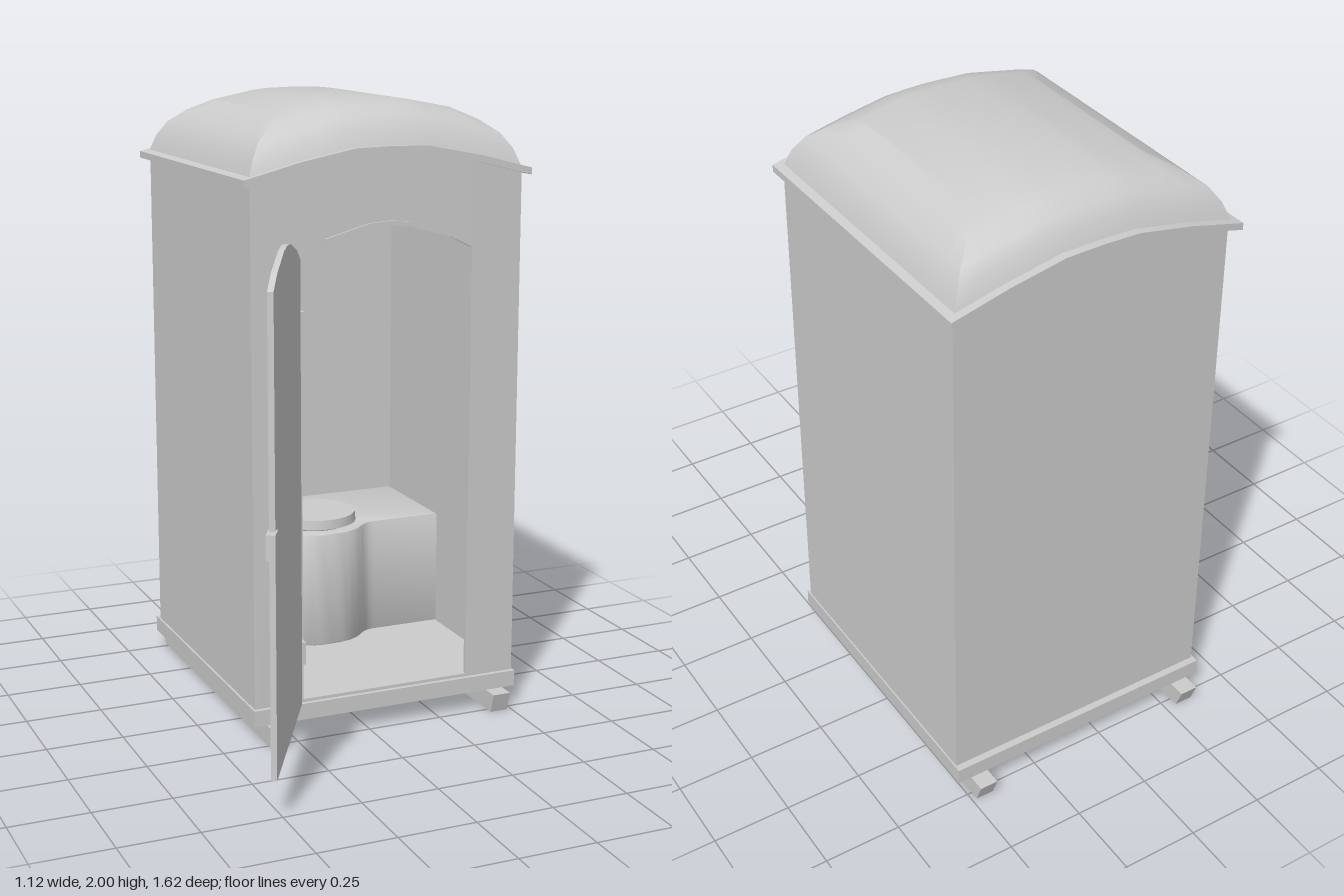
import * as THREE from 'three';
import { toCreasedNormals } from 'three/addons/utils/BufferGeometryUtils.js';

const CX = 0.07; // centre line of the cabin
const plastic = new THREE.MeshStandardMaterial({ color: 0xcccccc, side: THREE.DoubleSide });
plastic.name = 'grey plastic';

function add(parent, name, geometry, x = 0, y = 0, z = 0) {
  const mesh = new THREE.Mesh(geometry, plastic);
  mesh.name = name;
  mesh.position.set(x, y, z);
  parent.add(mesh);
  return mesh;
}

// Box given by its two extreme corners
function block(parent, name, x0, x1, y0, y1, z0, z1) {
  return add(parent, name, new THREE.BoxGeometry(x1 - x0, y1 - y0, z1 - z0),
    (x0 + x1) / 2, (y0 + y1) / 2, (z0 + z1) / 2);
}

const extrude = (shape, depth, options = {}) => toCreasedNormals(
  new THREE.ExtrudeGeometry(shape, { depth, bevelEnabled: false, curveSegments: 10, ...options }), 0.6);

const polygon = (pts) => new THREE.Shape(pts.map(([x, y]) => new THREE.Vector2(x, y)));

// Linear interpolation through [input, output] pairs
function sample(table, t) {
  for (let i = 1; i < table.length; i++) {
    const [a, ya] = table[i - 1], [b, yb] = table[i];
    if (t <= b) return ya + (yb - ya) * Math.max(0, (t - a) / (b - a));
  }
  return table[table.length - 1][1];
}

// Arched eave line, and the rise of the dome by distance from its edge
const EAVE = [[0, 1.866], [0.12, 1.863], [0.3, 1.828], [0.48, 1.782]];
const RISE = [[0, 0], [0.02, 0.05], [0.05, 0.088], [0.1, 0.115], [0.17, 0.135]];
const eave = (x) => sample(EAVE, Math.abs(x - CX));
const eaveLine = (half, drop) => [-1, -0.625, -0.25, 0, 0.25, 0.625, 1]
  .map((k) => [CX + half * k, eave(CX + half * k) - drop]);

// Arched outline shared by the doorway and the door
function archPoints(x0, x1, y0, ySide, yTop) {
  const w = x1 - x0, h = yTop - ySide;
  return [[x0, y0], [x1, y0], [x1, ySide], [x1 - w * 0.13, ySide + h * 0.45], [x1 - w * 0.38, ySide + h * 0.93],
    [x0 + w / 2, yTop], [x0 + w * 0.38, ySide + h * 0.93], [x0 + w * 0.13, ySide + h * 0.45], [x0, ySide]];
}

// Dome made of rectangular rings, closed by strips across the top
function domeGeometry(x0, x1, z0, z1) {
  const n = 12, pos = [], index = [];
  for (const [inset, rise] of RISE) {
    const a = x0 + inset, b = x1 - inset, c = z0 + inset, d = z1 - inset;
    const corners = [[a, d], [b, d], [b, c], [a, c]];
    for (let s = 0; s < 4; s++) {
      const p = corners[s], q = corners[(s + 1) % 4];
      for (let i = 0; i < n; i++) {
        const x = p[0] + (q[0] - p[0]) * i / n, z = p[1] + (q[1] - p[1]) * i / n;
        pos.push(x, eave(x) + rise - 0.003, z);
      }
    }
  }
  const m = 4 * n, last = (RISE.length - 1) * m;
  for (let r = 0; r < RISE.length - 1; r++) {
    for (let i = 0; i < m; i++) {
      const j = (i + 1) % m, a = r * m + i, b = r * m + j;
      index.push(a, b, b + m, a, b + m, a + m);
    }
  }
  for (let i = 0; i < n; i++) {
    const f = last + i, g = last + 3 * n - i;
    index.push(f, f + 1, g - 1, f, g - 1, g);
  }
  // fan triangles closing the flat left and right ends
  for (const s of [1, 3]) {
    for (let i = 1; i < n - 1; i++) {
      index.push(last + s * n, last + s * n + i, last + s * n + i + 1);
    }
    index.push(last + s * n, last + s * n + n - 1, last + ((s + 1) * n) % m);
  }
  const g = new THREE.BufferGeometry();
  g.setAttribute('position', new THREE.Float32BufferAttribute(pos, 3));
  g.setIndex(index);
  g.computeVertexNormals();
  return toCreasedNormals(g, 0.6);
}

export function createModel() {
  const model = new THREE.Group();
  model.name = 'portable toilet cabin';

  // Skids with ends sloping inwards towards the ground
  const skid = polygon([[-0.275, 0], [0.78, 0], [0.805, 0.065], [-0.295, 0.065]]);
  for (const x of [-0.32, 0.455]) {
    add(model, 'skid', extrude(skid, 0.06).rotateY(Math.PI / 2), x - 0.03, 0, 0);
  }

  // Base and floor
  block(model, 'base', -0.392, 0.53, 0.065, 0.118, -0.748, 0.24);

  // Walls
  const T = 0.014;
  block(model, 'leftWall', 0.525 - T, 0.525, 0.118, 1.77, -0.725, 0.225);
  block(model, 'rightWall', -0.385, -0.385 + T, 0.118, 1.77, -0.725, 0.225);
  const wall = () => polygon([[-0.384, 0.118], [0.524, 0.118], ...eaveLine(0.454, 0.012).reverse()]);
  add(model, 'backWall', extrude(wall(), T), 0, 0, -0.725);
  const front = wall();
  const doorway = archPoints(-0.22, 0.355, 0.128, 1.54, 1.622);
  front.holes.push(new THREE.Path(doorway.map(([x, y]) => new THREE.Vector2(x, y))));
  add(model, 'frontWall', extrude(front, T), 0, 0, 0.225 - T);

  // Drip lip following the top of the doorway
  const arch = doorway.slice(3, 8);
  const lip = polygon([...arch, ...arch.map(([x, y]) => [x, y + 0.014]).reverse()]);
  add(model, 'dripLip', extrude(lip, 0.009), 0, 0.002, 0.224);

  // Roof: arched rim and dome
  const rim = polygon([...eaveLine(0.48, 0.022), ...eaveLine(0.48, 0).reverse()]);
  add(model, 'roofRim', extrude(rim, 1.005), 0, 0, -0.76);
  add(model, 'roofDome', domeGeometry(-0.385, 0.525, -0.735, 0.222));

  // Open door, hinged on the right jamb
  const door = new THREE.Group();
  door.name = 'door';
  door.position.set(-0.246, 0, 0.254);
  door.rotation.y = -2.079;
  model.add(door);
  add(door, 'doorPanel', extrude(polygon(archPoints(0, 0.595, 0.128, 1.542, 1.625)), 0.018), 0, 0, -0.009);
  block(door, 'doorLatch', 0.57, 0.632, 0.795, 0.87, -0.014, 0.014);
  for (const y of [0.295, 1.345]) {
    block(model, 'hinge', -0.25, -0.226, y - 0.037, y + 0.037, 0.22, 0.262);
  }

  // Tank bench with a rounded bulge under the seat
  const bench = new THREE.Shape();
  bench.moveTo(-0.362, 0.702);
  bench.lineTo(-0.362, 0.322);
  bench.lineTo(-0.13, 0.322);
  bench.bezierCurveTo(-0.05, 0.322, -0.07, 0.235, 0.07, 0.235);
  bench.bezierCurveTo(0.21, 0.235, 0.19, 0.322, 0.27, 0.322);
  bench.lineTo(0.502, 0.322);
  bench.lineTo(0.502, 0.702);
  const bevel = { bevelEnabled: true, bevelSize: 0.008, bevelThickness: 0.008, bevelSegments: 2 };
  add(model, 'tankBench', extrude(bench, 0.382, bevel).rotateX(-Math.PI / 2), 0, 0.126, 0);

  // Seat and closed lid
  add(model, 'seat', new THREE.CylinderGeometry(0.125, 0.115, 0.016, 28), CX, 0.521, -0.385);
  add(model, 'seatLid', new THREE.CylinderGeometry(0.142, 0.145, 0.032, 28), CX, 0.543, -0.385);

  // Paper dispenser on the right wall
  const box = polygon([[-0.372, 0.84], [-0.27, 0.84], [-0.235, 0.875], [-0.235, 0.925], [-0.26, 0.945], [-0.372, 0.945]]);
  add(model, 'paperDispenser', extrude(box, 0.17), 0, 0, -0.14);
  add(model, 'paperRoll', new THREE.CylinderGeometry(0.04, 0.04, 0.12, 16).rotateX(Math.PI / 2), -0.31, 0.845, -0.055);

  return model;
}
